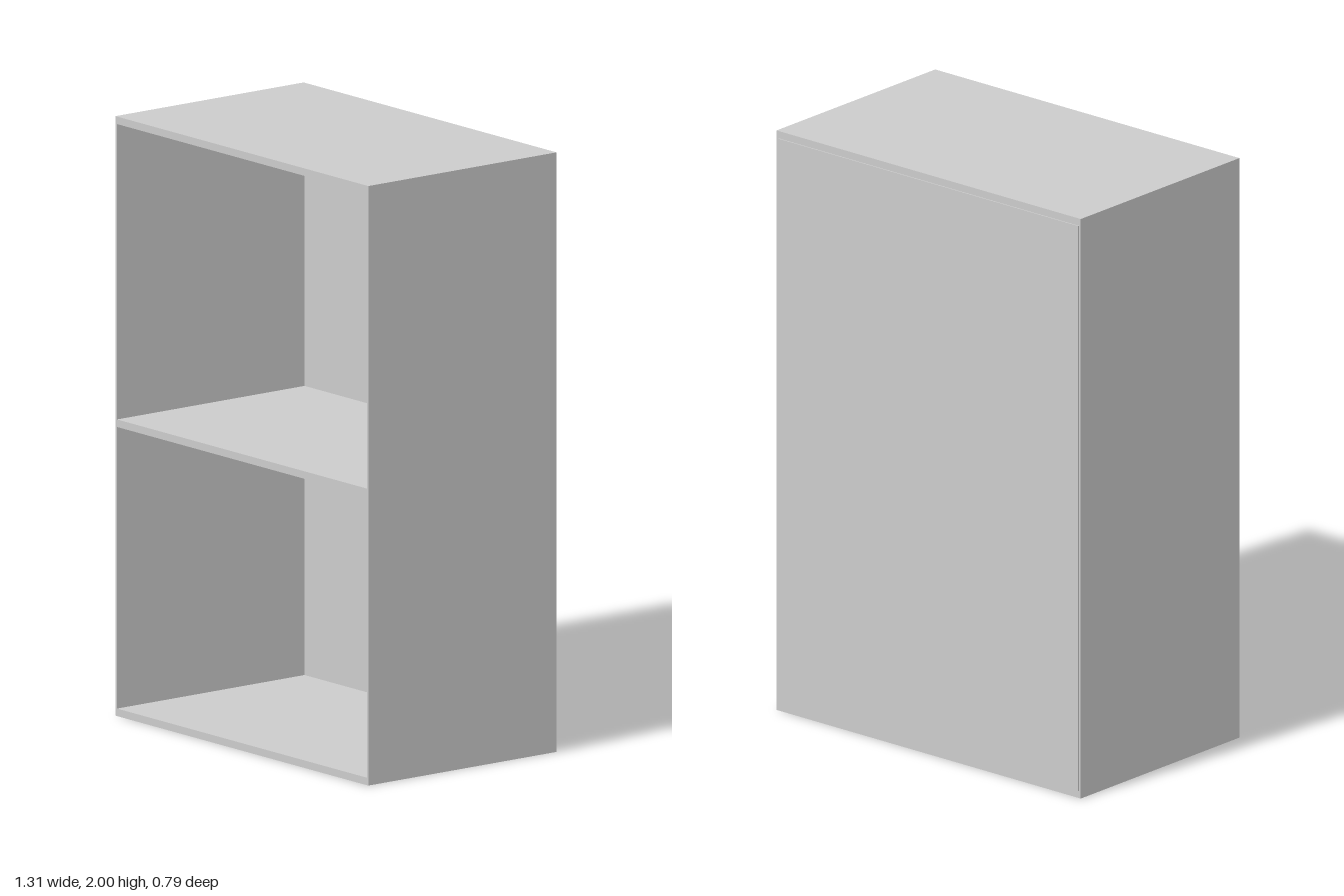
import * as THREE from 'three';

// Open two-bay bookcase: thin sides, thicker boards, thin back panel.
export function createModel() {
  const group = new THREE.Group();
  group.name = 'bookcase';
  const material = new THREE.MeshStandardMaterial({ color: 0xcccccc });

  const halfWidth = 0.656, height = 2;
  const front = 0.395, rear = -0.391, back = -0.395;
  const side = 0.008, board = 0.025;
  const depth = front - rear, midZ = (front + rear) / 2;
  const innerWidth = 2 * (halfWidth - side);

  function panel(name, w, h, d, x, y, z) {
    const mesh = new THREE.Mesh(new THREE.BoxGeometry(w, h, d), material);
    mesh.name = name;
    mesh.position.set(x, y, z);
    group.add(mesh);
  }

  // Side panels
  for (const [name, s] of [['leftSide', 1], ['rightSide', -1]]) {
    panel(name, side, height, depth, s * (halfWidth - side / 2), height / 2, midZ);
  }

  // Horizontal boards, placed by their centre height
  const boards = [['bottomBoard', board / 2], ['middleShelf', 0.977], ['topBoard', height - board / 2]];
  for (const [name, y] of boards) panel(name, innerWidth, board, depth, 0, y, midZ);

  // Back panel, standing slightly proud of the carcass
  panel('backPanel', innerWidth, height - 2 * board, 0.007, 0, height / 2, back + 0.0035);

  return group;
}
